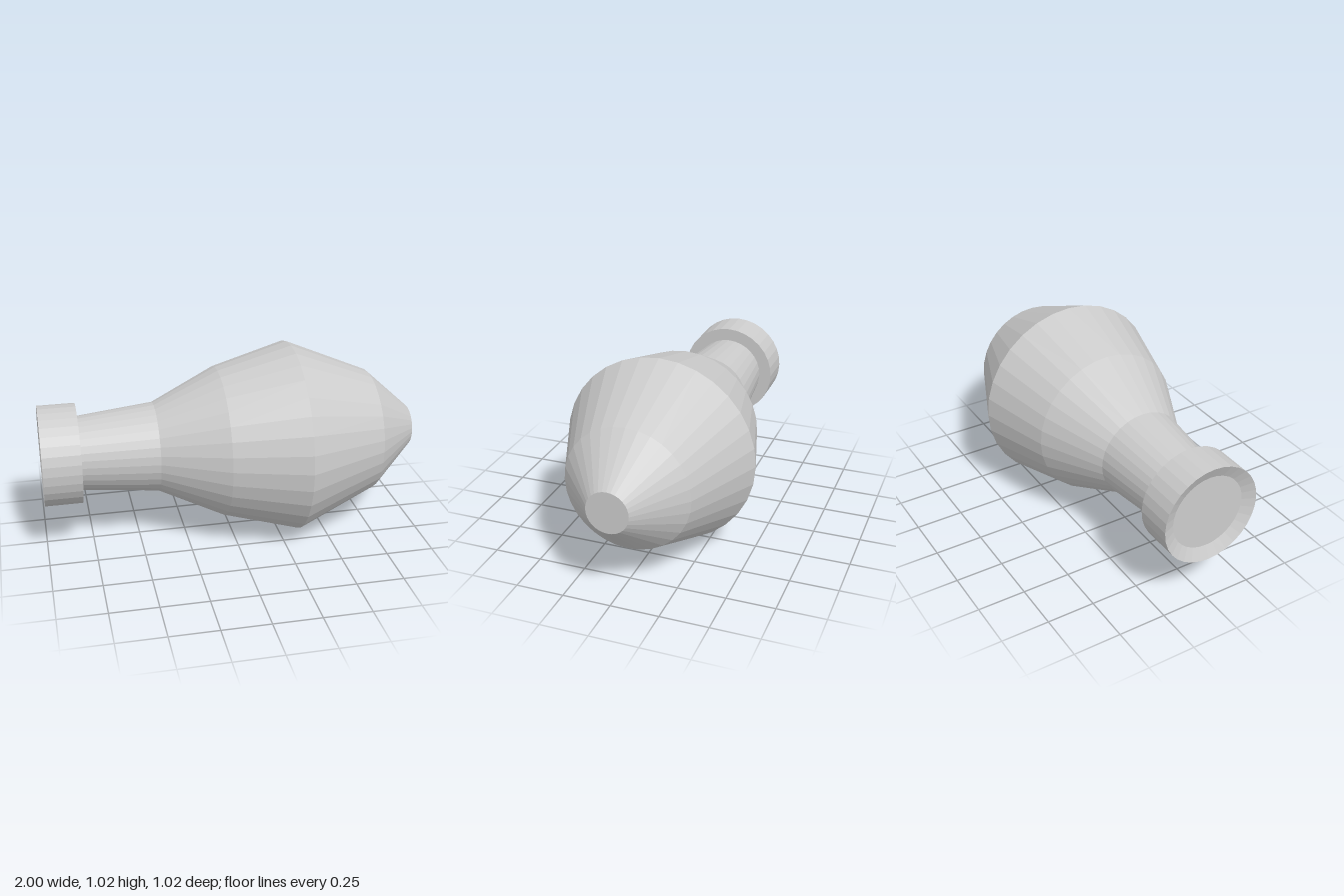
import * as THREE from 'three';

const SIDES = 32;
const AXIS_HEIGHT = 0.51;

export function createModel() {
  const group = new THREE.Group();
  const material = new THREE.MeshStandardMaterial({ color: 0xcccccc, flatShading: true });

  // Faceted solid of revolution around the x axis, from [x, radius] pairs
  function addTurned(name, profile) {
    const points = profile.map(([x, r]) => new THREE.Vector2(r, x));
    const geometry = new THREE.LatheGeometry(points, SIDES);
    geometry.rotateZ(-Math.PI / 2);
    const mesh = new THREE.Mesh(geometry, material);
    mesh.name = name;
    mesh.position.y = AXIS_HEIGHT;
    group.add(mesh);
  }

  // End collar with a shallow dished back
  addTurned('collar', [
    [-0.97, 0], [-0.97, 0.198], [-1, 0.263], [-0.803, 0.263], [-0.803, 0.194],
  ]);

  // Neck swelling into the bulb, then tapering to a flat tip
  addTurned('body', [
    [-0.803, 0.194], [-0.4, 0.236], [-0.06, 0.4], [0.333, 0.51],
    [0.765, 0.327], [1, 0.109], [1, 0],
  ]);

  return group;
}
